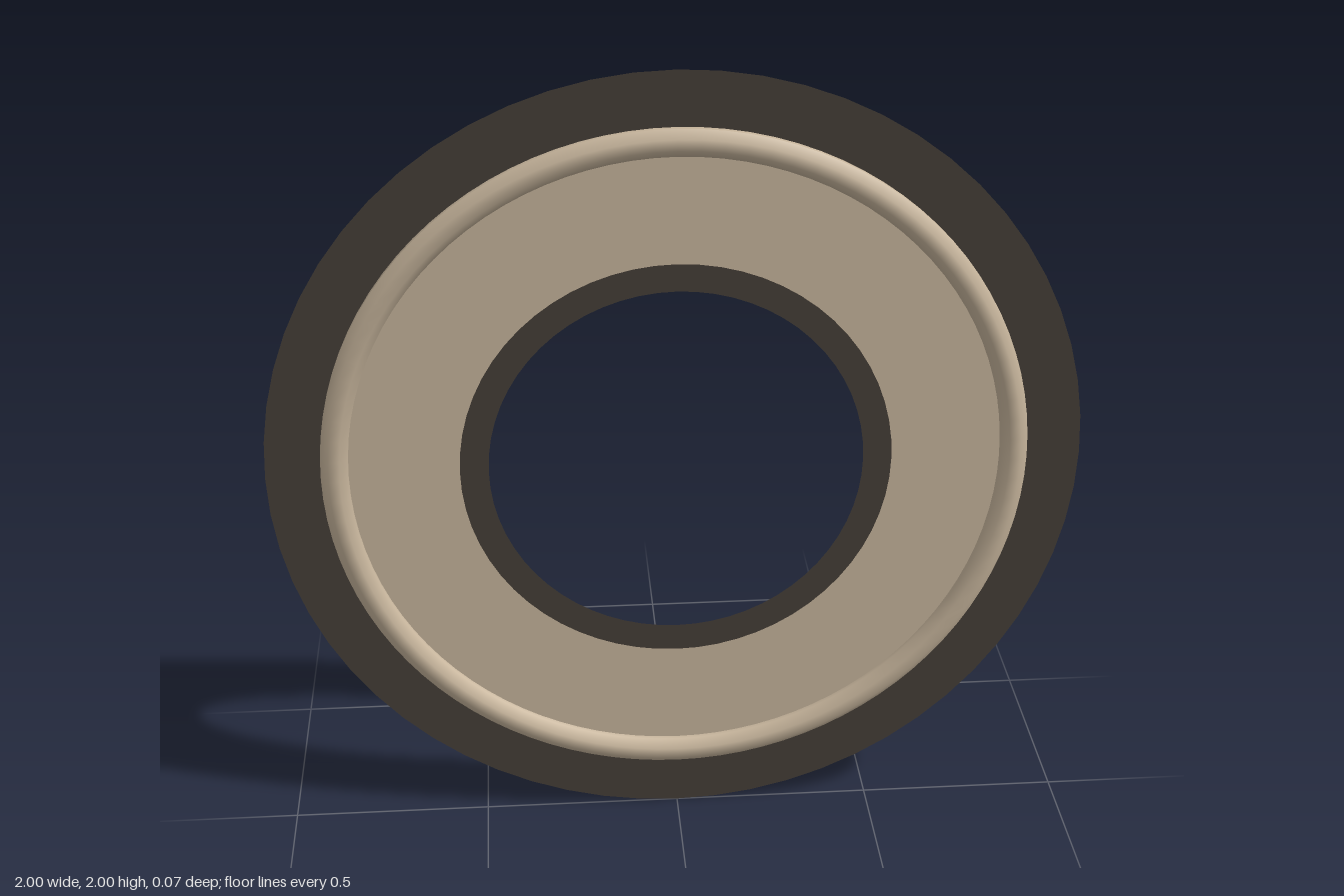
import * as THREE from 'three';

export function createModel() {
  const dark = new THREE.MeshStandardMaterial({ color: 0x463f38, side: THREE.DoubleSide });
  dark.name = 'darkBrown';
  const tan = new THREE.MeshStandardMaterial({ color: 0xc8b69d });
  tan.name = 'tan';

  const model = new THREE.Group();
  model.name = 'ringDisc';
  const add = (name, geometry, material, z = 0, turn = 0) => {
    const mesh = new THREE.Mesh(geometry, material);
    mesh.name = name;
    mesh.position.set(0, 1, z);
    mesh.rotation.y = turn;
    model.add(mesh);
  };

  // Flat dark sheet showing at the outer and inner borders
  add('baseRing', new THREE.RingGeometry(0.46, 1, 64), dark);

  // Tan faces just proud of the sheet, one on each side
  const face = new THREE.RingGeometry(0.53, 0.84, 64);
  add('frontFace', face, tan, 0.002);
  add('backFace', face, tan, -0.002, Math.PI);

  // Raised rim with an eight-sided section, flat on its outer edge
  const section = [];
  for (let i = 0; i <= 8; i++) {
    const a = ((i + 0.5) / 8) * Math.PI * 2;
    section.push(new THREE.Vector2(0.832 + 0.036 * Math.cos(a), 0.036 * Math.sin(a)));
  }
  const rim = new THREE.LatheGeometry(section, 96);
  rim.rotateX(Math.PI / 2);
  add('raisedRim', rim, tan);

  return model;
}
